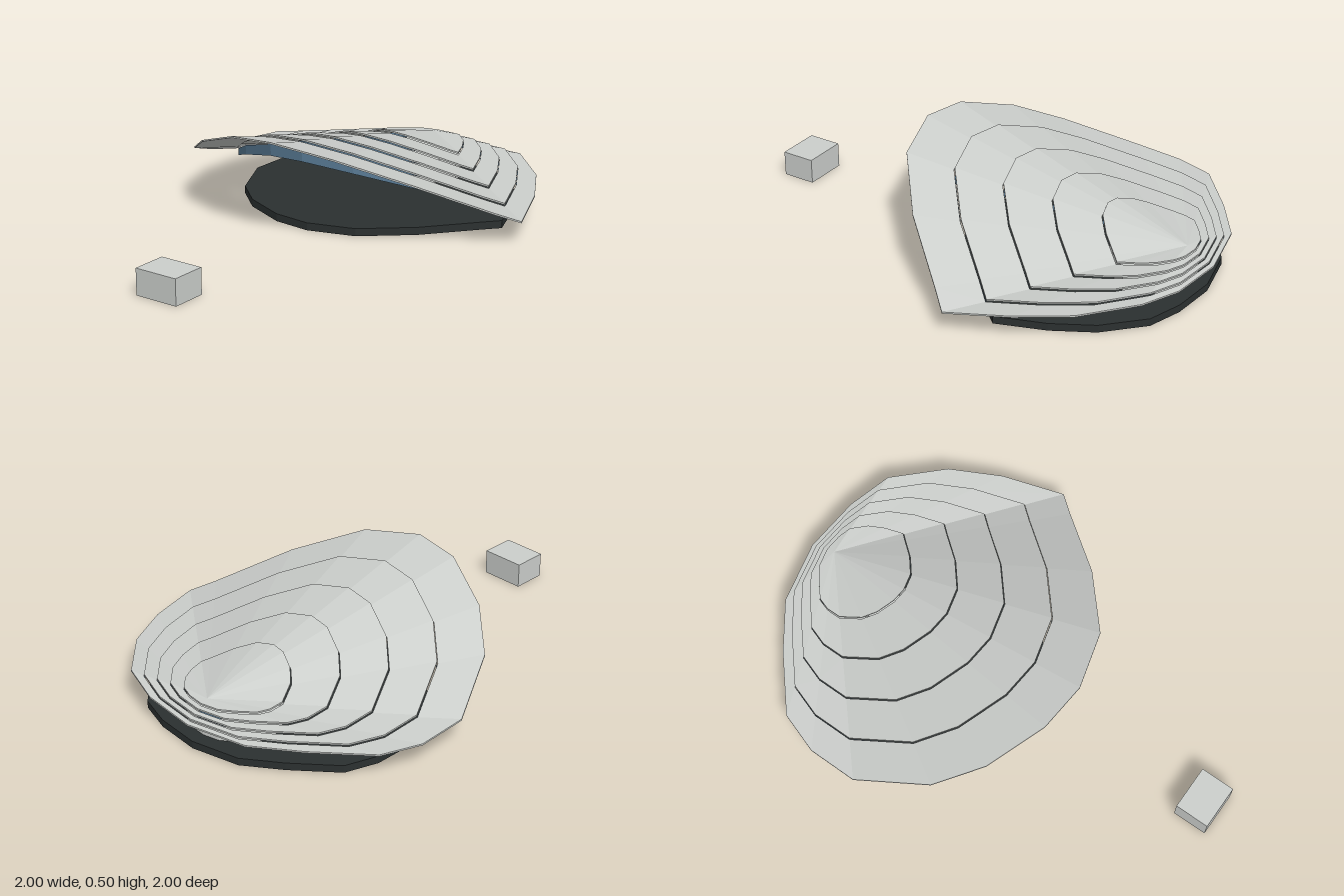
import * as THREE from 'three';

// Roof rim, clockwise from the back left: x, y, z
const RIM = [
  [-0.12, 0.14, -1], [0.2, 0.14, -0.97], [0.46, 0.14, -0.92], [0.72, 0.14, -0.75],
  [0.9, 0.145, -0.53], [1, 0.165, -0.33], [1, 0.15, -0.03], [0.92, 0.135, 0.23],
  [0.78, 0.11, 0.51], [0.65, 0.16, 0.515], [0.27, 0.32, 0.54], [-0.09, 0.45, 0.5],
  [-0.35, 0.5, 0.35], [-0.5, 0.48, 0.16], [-0.605, 0.38, -0.13], [-0.615, 0.27, -0.39],
  [-0.49, 0.15, -0.74], [-0.31, 0.135, -0.91],
];
const APEX = [0.635, 0.16, -0.65];   // every tier shrinks toward this point
const SCALES = [1, 0.824, 0.648, 0.472, 0.296];
const LIFT = 0.0125, THICK = 0.008;

// Rim scaled toward the apex; yMap sets the height from the scaled height
const loop = (s, yMap) => RIM.map(p => {
  const [x, y, z] = p.map((v, k) => APEX[k] + s * (v - APEX[k]));
  return [x, yMap(y), z];
});

// Flat-faced surface through successive loops
function loft(loops) {
  const pos = [];
  for (let k = 0; k < loops.length - 1; k++) {
    const a = loops[k], b = loops[k + 1];
    for (let i = 0; i < a.length; i++) {
      const j = (i + 1) % a.length;
      pos.push(...a[i], ...a[j], ...b[j], ...a[i], ...b[j], ...b[i]);
    }
  }
  const g = new THREE.BufferGeometry();
  g.setAttribute('position', new THREE.Float32BufferAttribute(pos, 3));
  g.computeVertexNormals();
  return g;
}

// Upright block with the rim's plan
const slab = (s, y0, y1) => loft([
  loop(0, () => y1), loop(s, () => y1), loop(s, () => y0), loop(0, () => y0),
]);

export function createModel() {
  const group = new THREE.Group();
  const concrete = new THREE.MeshStandardMaterial({ color: 0xcbcecb });
  concrete.name = 'pale concrete';
  const dark = new THREE.MeshStandardMaterial({ color: 0x2b3030 });
  dark.name = 'dark plinth';
  const glass = new THREE.MeshStandardMaterial({ color: 0x587a94, side: THREE.DoubleSide });
  glass.name = 'blue glass';

  const add = (name, geometry, material) => {
    const mesh = new THREE.Mesh(geometry, material);
    mesh.name = name;
    group.add(mesh);
    return mesh;
  };

  add('plinth', slab(0.8, 0, 0.037), dark);
  add('coreDrum', slab(0.27, 0.002, 0.155), concrete);

  // Stepped roof: open ring tiers, closed by the smallest one
  SCALES.forEach((s, i) => {
    const inner = i < SCALES.length - 1 ? SCALES[i + 1] + 0.003 : 0;
    const top = y => y + LIFT * i, under = y => top(y) - THICK;
    add('roofTier' + (i + 1), loft([
      loop(inner, top), loop(s, top), loop(s, under), loop(inner, under), loop(inner, top),
    ]), concrete);

    // Glazed band hanging below the edge of each upper tier
    if (i > 0) {
      add('glassBand' + i, loft([
        loop(s, y => top(y) * 0.89), loop(s, y => top(y) * 0.76),
      ]), glass);
    }
  });

  // Detached block at the front corner
  const block = add('outbuilding', new THREE.BoxGeometry(0.22, 0.125, 0.17), concrete);
  block.position.set(-0.862, 0.0625, 0.857);
  block.rotation.y = -0.8;

  return group;
}
